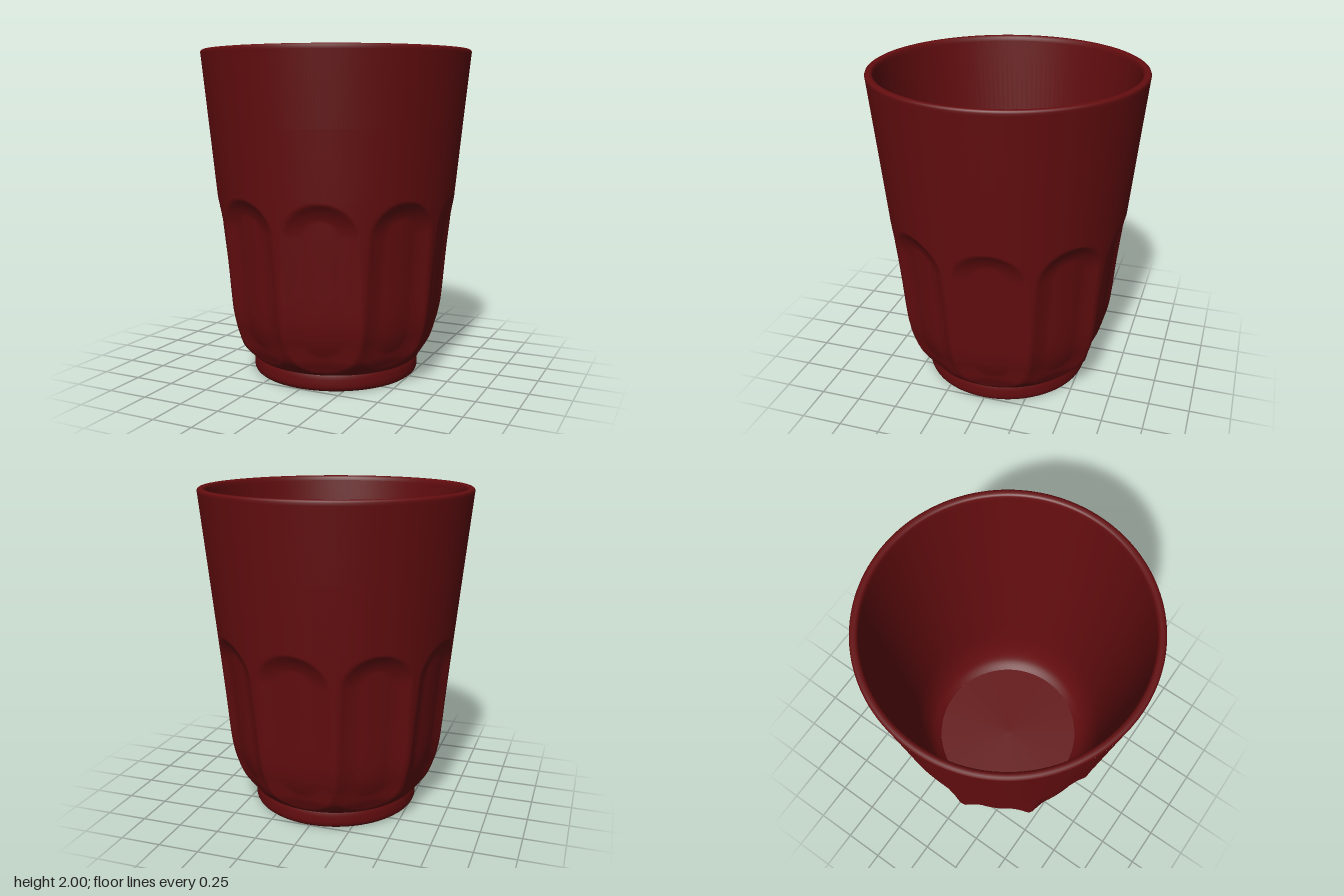
import * as THREE from 'three';
import { mergeVertices } from 'three/addons/utils/BufferGeometryUtils.js';

const FLUTES = 9, STEP = (Math.PI * 2) / FLUTES, FIRST = THREE.MathUtils.degToRad(18);
const HALF_WIDTH = 0.22, BEVEL = 0.11, DEPTH = 0.04;
const LOW = 0.12, HIGH = 1.14, END = 0.2; // flute extent and height of its rounded ends

const v2 = (p) => new THREE.Vector2(p[0], p[1]);

// Smooth lathe with shared vertices along the seam
function lathe(points, segments) {
  return new THREE.LatheGeometry(points, segments, FIRST - STEP / 2);
}

function weld(geometry) {
  geometry.deleteAttribute('uv');
  geometry.deleteAttribute('normal');
  const welded = mergeVertices(geometry, 1e-5);
  welded.computeVertexNormals();
  return welded;
}

// How deep the flute is at a given angle, height and radius
function fluteDepth(angle, y, r) {
  const turns = (angle - FIRST) / STEP;
  const u = (turns - Math.round(turns)) * STEP * r;
  const past = Math.max(0, LOW + END - y, y - (HIGH - END));
  const inside = HALF_WIDTH - Math.hypot(u, (past * HALF_WIDTH) / END);
  const t = THREE.MathUtils.clamp(inside / BEVEL, 0, 1);
  return DEPTH * t * (1.6 - 0.6 * t);
}

export function createModel() {
  const group = new THREE.Group();
  const material = new THREE.MeshStandardMaterial({ color: 0x640d0f });
  const add = (name, geometry) => {
    const mesh = new THREE.Mesh(geometry, material);
    mesh.name = name;
    group.add(mesh);
  };

  // Outer wall: rounded below, straight taper above, with flutes pressed in
  const curve = new THREE.SplineCurve(
    [[0.515, 0.105], [0.555, 0.14], [0.605, 0.2], [0.645, 0.3], [0.667, 0.4], [0.681, 0.52], [0.7, 0.74], [0.741, 1.16]].map(v2));
  const profile = [...curve.getSpacedPoints(100), v2([0.78, 1.55]), v2([0.823, 1.97])];
  const wall = lathe(profile, FLUTES * 32);
  const pos = wall.attributes.position;
  for (let i = 0; i < pos.count; i++) {
    const j = i % profile.length;
    const { x: r, y } = profile[j];
    const a = profile[Math.max(0, j - 1)], b = profile[Math.min(profile.length - 1, j + 1)];
    const normal = new THREE.Vector2(b.y - a.y, a.x - b.x).normalize();
    const angle = Math.atan2(pos.getX(i), pos.getZ(i));
    const d = fluteDepth(angle, y, r);
    const nr = r - normal.x * d;
    pos.setXYZ(i, Math.sin(angle) * nr, y - normal.y * d, Math.cos(angle) * nr);
  }
  add('flutedWall', weld(wall));

  // Rounded rim
  add('rim', weld(lathe(
    [[0.823, 1.97], [0.825, 1.985], [0.821, 1.995], [0.812, 2], [0.796, 2], [0.786, 1.996], [0.78, 1.988], [0.777, 1.97]].map(v2), 144)));

  // Inside wall, running down to the floor
  const inner = new THREE.SplineCurve(
    [[0.691, 1.16], [0.65, 0.74], [0.629, 0.52], [0.61, 0.38], [0.58, 0.27], [0.54, 0.19], [0.485, 0.135]].map(v2));
  add('innerWall', weld(lathe([v2([0.777, 1.97]), ...inner.getPoints(30)], 144)));

  const floor = new THREE.CircleGeometry(0.485, 96);
  floor.rotateX(-Math.PI / 2).translate(0, 0.135, 0);
  add('innerFloor', floor);

  // Foot ring and flat underside
  add('foot', weld(lathe(
    [[0.485, 0], [0.5, 0.004], [0.512, 0.014], [0.519, 0.03], [0.52, 0.05], [0.52, 0.078], [0.518, 0.095], [0.515, 0.105]].map(v2), 144)));
  const underside = new THREE.CircleGeometry(0.485, 96);
  underside.rotateX(Math.PI / 2);
  add('underside', underside);

  return group;
}
